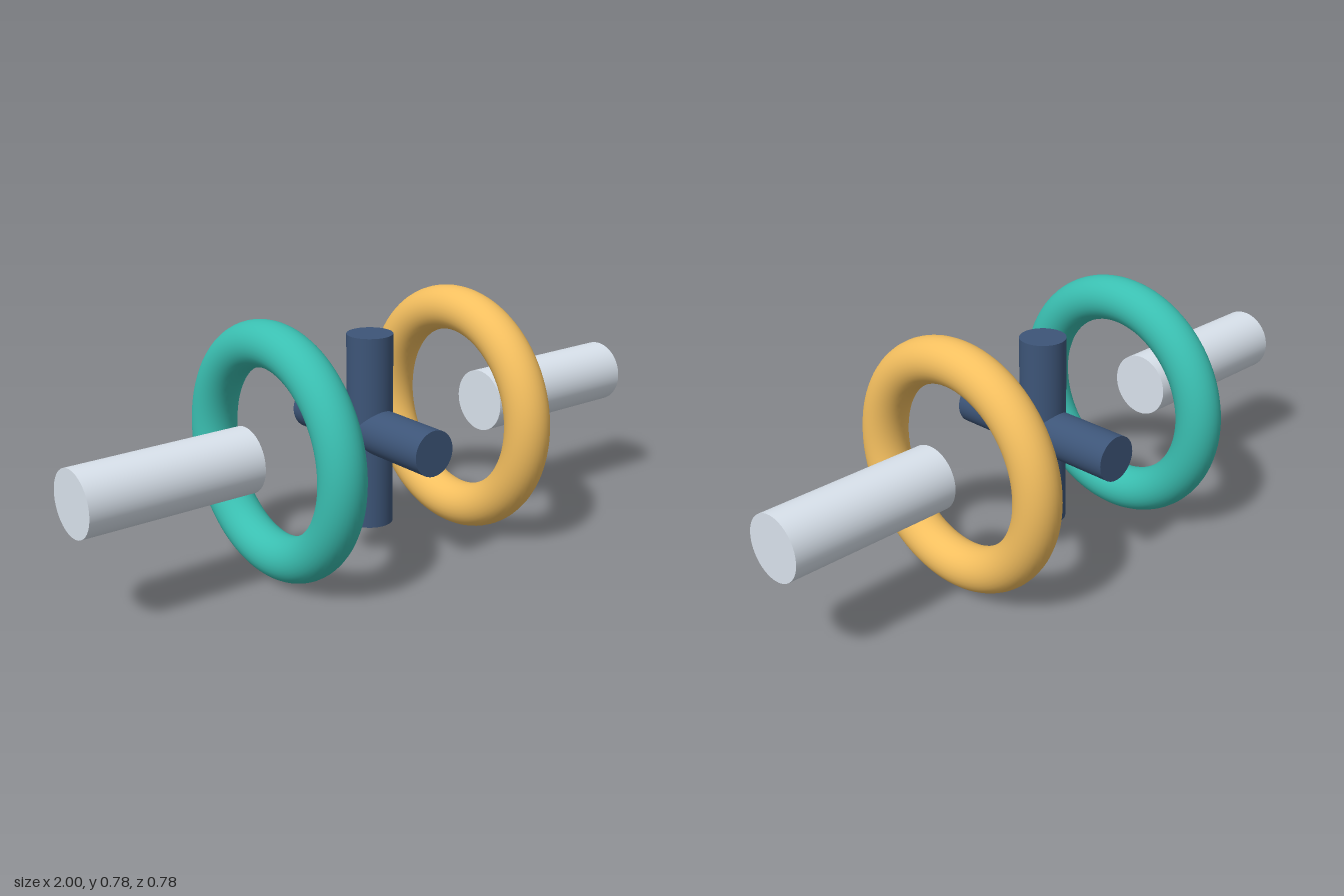
import * as THREE from 'three';

const CENTER_Y = 0.39;

export function createModel() {
  const model = new THREE.Group();
  model.name = 'crossAndRingCoupling';

  const paint = (color) => new THREE.MeshStandardMaterial({ color });
  const silver = paint(0xd9e2ec);
  const navy = paint(0x3d5578);
  const teal = paint(0x3abfb1);
  const gold = paint(0xf4bf5f);

  const add = (name, geometry, material, x = 0) => {
    const mesh = new THREE.Mesh(geometry, material);
    mesh.name = name;
    mesh.position.set(x, CENTER_Y, 0);
    model.add(mesh);
    return mesh;
  };

  // Central cross: one upright pin and one running front to back
  const pin = new THREE.CylinderGeometry(0.07, 0.07, 0.594, 48);
  add('uprightPin', pin, navy);
  add('crossPin', pin, navy).rotation.x = Math.PI / 2;

  // A ring and a shaft on each side, all on the x axis
  const ring = new THREE.TorusGeometry(0.319, 0.069, 32, 96).rotateY(Math.PI / 2);
  const shaft = new THREE.CylinderGeometry(0.098, 0.098, 0.55, 48).rotateZ(Math.PI / 2);
  for (const [label, side, color] of [['left', 1, gold], ['right', -1, teal]]) {
    add(label + 'Ring', ring, color, side * 0.35);
    add(label + 'Shaft', shaft, silver, side * 0.725);
  }

  return model;
}
